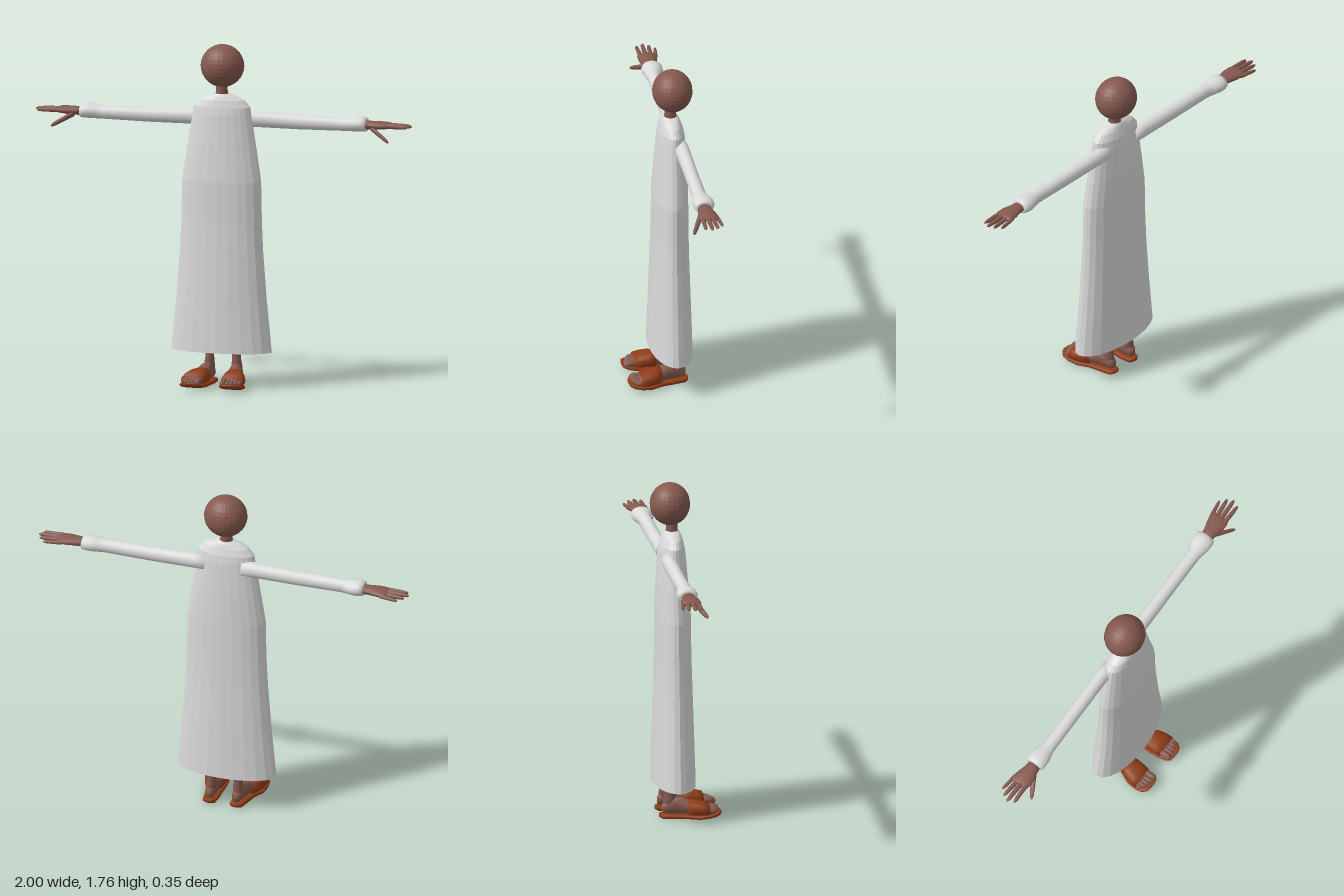
import * as THREE from 'three';

const mat = (name, color, side = THREE.FrontSide) => {
  const m = new THREE.MeshStandardMaterial({ color, side });
  m.name = name;
  return m;
};

// Skin elliptical rings [t, u, v, ru, rv] along an axis; u, v follow the axis cyclically (x: y,z  y: z,x  z: x,y).
// power < 1 squares off the cross-section.
function loft(axis, rings, sides = 16, { caps = true, power = 1 } = {}) {
  const pos = [], idx = [];
  const k = 'xyz'.indexOf(axis);
  const put = (t, u, v) => {
    const p = [0, 0, 0];
    p[k] = t; p[(k + 1) % 3] = u; p[(k + 2) % 3] = v;
    pos.push(...p);
  };
  const soft = (s) => Math.sign(s) * Math.pow(Math.abs(s), power);
  for (const [t, u, v, ru, rv] of rings)
    for (let j = 0; j < sides; j++) {
      const a = (j / sides) * Math.PI * 2;
      put(t, u + ru * soft(Math.cos(a)), v + rv * soft(Math.sin(a)));
    }
  for (let i = 0; i < rings.length - 1; i++)
    for (let j = 0; j < sides; j++) {
      const a = i * sides + j, b = i * sides + (j + 1) % sides;
      idx.push(a, b, b + sides, a, b + sides, a + sides);
    }
  if (caps) {
    const end = (i, flip) => {
      const c = pos.length / 3;
      put(rings[i][0], rings[i][1], rings[i][2]);
      for (let j = 0; j < sides; j++) {
        const a = i * sides + j, b = i * sides + (j + 1) % sides;
        idx.push(c, flip ? b : a, flip ? a : b);
      }
    };
    end(0, true);
    end(rings.length - 1, false);
  }
  const g = new THREE.BufferGeometry();
  g.setAttribute('position', new THREE.Float32BufferAttribute(pos, 3));
  g.setIndex(idx);
  g.computeVertexNormals();
  return g;
}

function faceted(g) {
  const f = g.toNonIndexed();
  f.computeVertexNormals();
  return f;
}

// Mirror across x = 0 and turn the faces back outward
function mirrored(g) {
  const m = g.clone().scale(-1, 1, 1);
  const a = m.index.array;
  for (let i = 0; i < a.length; i += 3) [a[i], a[i + 1]] = [a[i + 1], a[i]];
  m.computeVertexNormals();
  return m;
}

// Tapered digit with a rounded tip, running along x from p to q
function digit(p, q, r) {
  const rings = [[0, 1.1], [0.4, 1.05], [0.8, 0.9], [0.94, 0.65], [1, 0.2]].map(([t, s]) =>
    [0, 1, 2].map((i) => p[i] + (q[i] - p[i]) * t).concat(r * s, r * s));
  return loft('x', rings, 8);
}

export function createModel() {
  const model = new THREE.Group();
  model.name = 'robedFigure';
  const skin = mat('brown skin', 0x85594f);
  const cloth = mat('white cloth', 0xdadada, THREE.DoubleSide);
  const leather = mat('tan leather', 0x8f3c17);

  const add = (name, geo, material, parent = model) => {
    const mesh = new THREE.Mesh(geo, material);
    mesh.name = name;
    parent.add(mesh);
  };

  // Head and neck
  const head = new THREE.SphereGeometry(0.112, 24, 16);
  head.scale(1, 0.98, 0.92).translate(0, 1.648, -0.07);
  add('head', faceted(head), skin);
  add('neck', new THREE.CylinderGeometry(0.028, 0.032, 0.1, 16).translate(0, 1.52, -0.06), skin);

  // Long robe, open at the hem
  add('robe', faceted(loft('y', [
    [0.18, -0.055, 0, 0.111, 0.267],
    [0.45, -0.055, 0, 0.103, 0.24],
    [0.7, -0.055, 0, 0.095, 0.221],
    [0.85, -0.056, 0, 0.091, 0.214],
    [1.06, -0.056, 0, 0.089, 0.21],
    [1.22, -0.06, 0, 0.081, 0.185],
    [1.4, -0.062, 0, 0.068, 0.156],
    [1.44, -0.062, 0, 0.061, 0.15],
    [1.475, -0.06, 0, 0.05, 0.118],
    [1.495, -0.06, 0, 0.042, 0.075],
    [1.508, -0.06, 0, 0.034, 0.036],
  ], 24, { caps: false })), cloth);

  // Sleeve with a puffed cuff
  const sleeve = loft('x', [
    [0.1, 1.375, -0.095, 0.04, 0.036],
    [0.16, 1.376, -0.095, 0.041, 0.037],
    [0.4, 1.372, -0.095, 0.038, 0.035],
    [0.64, 1.373, -0.095, 0.035, 0.036],
    [0.675, 1.375, -0.097, 0.037, 0.045],
    [0.71, 1.378, -0.099, 0.04, 0.054],
    [0.74, 1.378, -0.099, 0.039, 0.054],
    [0.758, 1.376, -0.098, 0.035, 0.047],
    [0.76, 1.376, -0.098, 0.024, 0.034],
  ], 20);

  // Hand: palm, four fingers and a lowered thumb
  const hand = {
    palm: loft('x', [
      [0.74, 1.374, -0.097, 0.024, 0.031],
      [0.79, 1.374, -0.096, 0.022, 0.037],
      [0.83, 1.375, -0.097, 0.021, 0.048],
      [0.87, 1.376, -0.1, 0.017, 0.052],
      [0.89, 1.376, -0.102, 0.01, 0.046],
    ], 16),
    littleFinger: digit([0.86, 1.373, -0.142], [0.957, 1.37, -0.156], 0.0095),
    ringFinger: digit([0.86, 1.376, -0.116], [0.985, 1.374, -0.128], 0.011),
    middleFinger: digit([0.86, 1.378, -0.092], [1.0, 1.376, -0.097], 0.0115),
    indexFinger: digit([0.86, 1.377, -0.067], [0.985, 1.374, -0.064], 0.011),
    thumb: digit([0.79, 1.362, -0.075], [0.897, 1.302, -0.018], 0.0135),
  };

  // Leg, foot and toes
  const leg = loft('y', [
    [0.05, -0.085, 0.074, 0.034, 0.027],
    [0.1, -0.082, 0.073, 0.034, 0.027],
    [0.14, -0.082, 0.071, 0.026, 0.022],
    [0.22, -0.085, 0.069, 0.024, 0.02],
    [0.45, -0.08, 0.07, 0.04, 0.036],
    [0.85, -0.06, 0.075, 0.05, 0.05],
  ], 16);
  const foot = loft('z', [
    [-0.124, 0.072, 0.055, 0.012, 0.018],
    [-0.112, 0.073, 0.058, 0.025, 0.031],
    [-0.07, 0.075, 0.068, 0.031, 0.045],
    [-0.03, 0.08, 0.068, 0.035, 0.046],
    [0.02, 0.088, 0.058, 0.043, 0.035],
    [0.08, 0.1, 0.05, 0.05, 0.027],
    [0.12, 0.104, 0.045, 0.05, 0.018],
  ], 16);
  const toes = [0.018, 0.0125, 0.012, 0.0115, 0.011].map((r, i) => {
    const x = [0.068, 0.093, 0.113, 0.132, 0.149][i];
    const tip = [0.168, 0.167, 0.162, 0.154, 0.143][i];
    return loft('z', [
      [0.1, x, 0.047, r, r],
      [tip - 0.022, x, 0.046, r, r * 1.1],
      [tip - 0.006, x, 0.044, r * 0.85, r * 0.85],
      [tip, x, 0.043, r * 0.3, r * 0.3],
    ], 10);
  });

  // Slide sandal: sole with a raised toe, and a broad strap
  const sole = loft('z', [
    [-0.136, 0.072, 0.018, 0.018, 0.009],
    [-0.12, 0.073, 0.015, 0.034, 0.013],
    [-0.07, 0.076, 0.014, 0.04, 0.014],
    [0, 0.085, 0.014, 0.045, 0.013],
    [0.06, 0.1, 0.015, 0.06, 0.013],
    [0.11, 0.104, 0.02, 0.062, 0.013],
    [0.15, 0.105, 0.028, 0.057, 0.012],
    [0.172, 0.102, 0.034, 0.04, 0.009],
    [0.177, 0.1, 0.036, 0.022, 0.005],
  ], 20, { power: 0.6 });
  const strap = loft('z', [
    [0.005, 0.088, 0.056, 0.048, 0.041],
    [0.04, 0.096, 0.055, 0.057, 0.041],
    [0.08, 0.102, 0.051, 0.061, 0.038],
    [0.113, 0.105, 0.048, 0.06, 0.03],
  ], 20, { power: 0.85 });

  for (const side of ['left', 'right']) {
    const place = (g) => (side === 'left' ? g : mirrored(g));
    const arm = new THREE.Group();
    arm.name = side + 'Arm';
    add('sleeve', place(sleeve), cloth, arm);
    for (const [name, g] of Object.entries(hand)) add(name, place(g), skin, arm);

    const limb = new THREE.Group();
    limb.name = side + 'Leg';
    add('leg', place(leg), skin, limb);
    add('foot', place(foot), skin, limb);
    toes.forEach((g, i) => add('toe' + (i + 1), place(g), skin, limb));
    add('sandalSole', place(sole), leather, limb);
    add('sandalStrap', place(strap), leather, limb);
    model.add(arm, limb);
  }
  return model;
}
